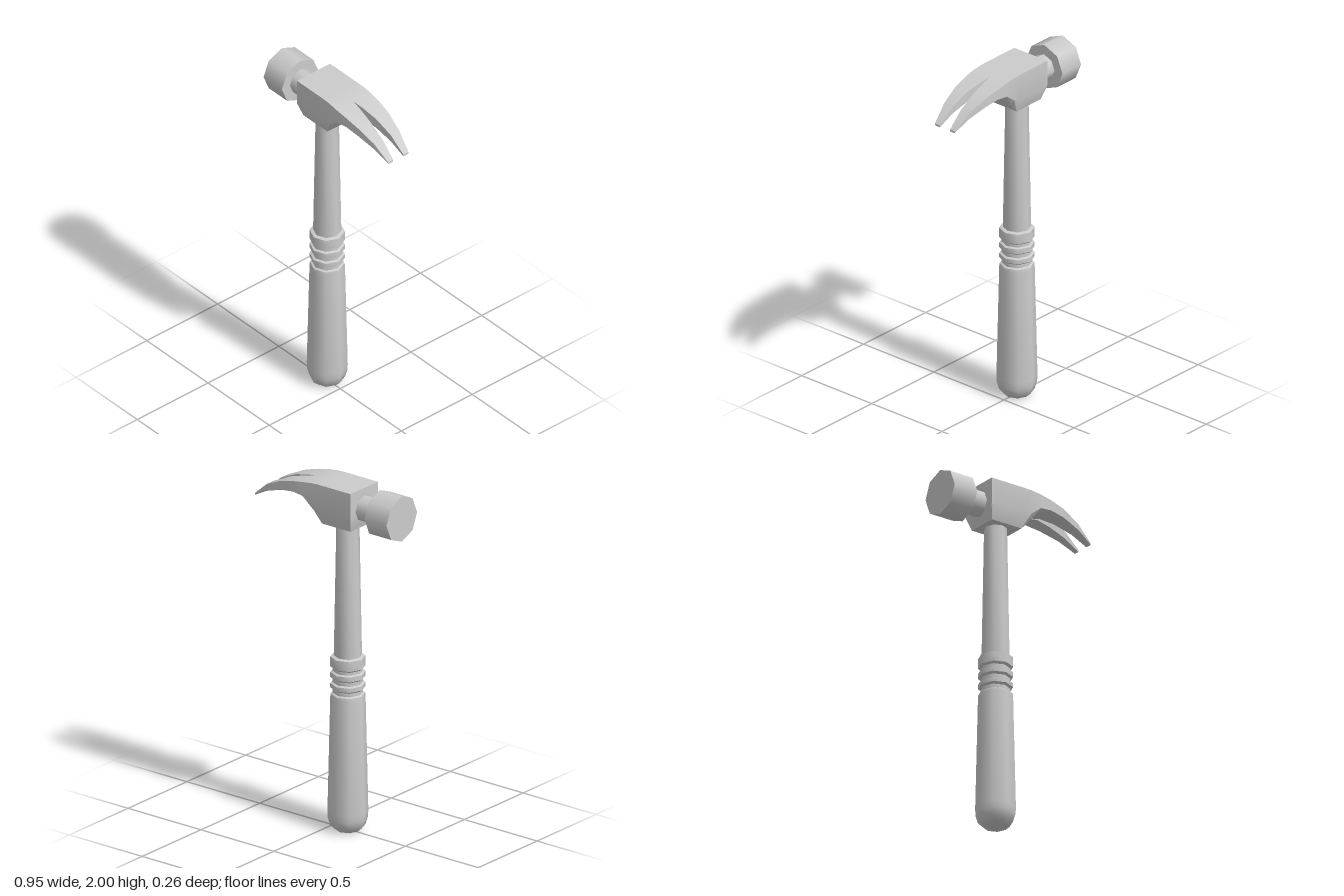
import * as THREE from 'three';
import { toCreasedNormals } from 'three/addons/utils/BufferGeometryUtils.js';

const SIDES = 8;
const HANDLE_X = -0.105;
const AXIS_Y = 1.87;

// Head cross-sections along x: [x, top, sideLow, bottom, outerZ, bottomZ, innerZ]
const HEAD = [
  [-0.217, 1.985, 1.84, 1.83, 0.117, 0.115, 0],
  [-0.195, 1.985, 1.83, 1.755, 0.117, 0.09, 0],
  [0.0, 1.985, 1.83, 1.755, 0.117, 0.09, 0],
  [0.05, 1.983, 1.85, 1.81, 0.118, 0.088, 0],
  [0.11, 1.975, 1.895, 1.878, 0.12, 0.088, 0],
  [0.18, 1.962, 1.902, 1.892, 0.116, 0.09, 0.009],
  [0.27, 1.938, 1.888, 1.88, 0.108, 0.086, 0.02],
  [0.38, 1.888, 1.853, 1.847, 0.09, 0.078, 0.029],
  [0.475, 1.808, 1.802, 1.797, 0.072, 0.068, 0.036],
];

// One half of the head (side = 1 or -1), lofted through the sections
function headHalf(side) {
  const rings = HEAD.map(([x, top, low, bottom, outer, bottomZ, inner]) =>
    [[top, inner], [top, outer], [low, outer], [bottom, bottomZ], [bottom, inner]]
      .map(([y, z]) => [x, y, z * side]));
  const pos = [];
  const tri = (a, b, c) => pos.push(...a, ...(side > 0 ? b : c), ...(side > 0 ? c : b));
  for (let i = 0; i < rings.length - 1; i++) {
    for (let j = 0; j < 5; j++) {
      if (j === 4 && HEAD[i + 1][6] === 0) continue; // no wall inside the solid block
      const k = (j + 1) % 5;
      tri(rings[i][j], rings[i][k], rings[i + 1][j]);
      tri(rings[i][k], rings[i + 1][k], rings[i + 1][j]);
    }
  }
  const first = rings[0], last = rings[rings.length - 1];
  for (let j = 1; j < 4; j++) {
    tri(first[0], first[j + 1], first[j]);
    tri(last[0], last[j], last[j + 1]);
  }
  const geo = new THREE.BufferGeometry();
  geo.setAttribute('position', new THREE.Float32BufferAttribute(pos, 3));
  return toCreasedNormals(geo, 0.45);
}

export function createModel() {
  const group = new THREE.Group();
  const material = new THREE.MeshStandardMaterial({ color: 0xcccccc });

  function add(name, geometry, x = 0, y = 0) {
    const mesh = new THREE.Mesh(geometry, material);
    mesh.name = name;
    mesh.position.set(x, y, 0);
    group.add(mesh);
    return mesh;
  }
  const turned = (points) => toCreasedNormals(
    new THREE.LatheGeometry(points.map(([r, y]) => new THREE.Vector2(r, y)), SIDES), 0.85);

  // Grip with rounded butt, then three raised rings
  const grip = [[0, 0], [0.068, 0.003], [0.095, 0.028], [0.108, 0.07], [0.11, 0.11],
    [0.095, 0.765], [0.093, 0.782], [0.082, 0.788]];
  for (const [low, high] of [[0.812, 0.848], [0.872, 0.912], [0.932, 1.0]]) {
    grip.push([0.082, low - 0.004], [0.095, low + 0.006], [0.095, high - 0.006], [0.082, high]);
  }
  grip.push([0.07, 1.0]);
  add('grip', turned(grip), HANDLE_X);

  // Tapered shaft
  add('shaft', turned([[0.076, 0.99], [0.062, 1.77]]), HANDLE_X);

  // Striking face and neck, both lying along x
  const along = (r, x0, x1) => new THREE.CylinderGeometry(r, r, x1 - x0, SIDES)
    .rotateZ(Math.PI / 2).translate((x0 + x1) / 2, 0, 0);
  add('strikingFace', along(0.13, -0.475, -0.325), 0, AXIS_Y);
  add('neck', along(0.073, -0.33, -0.21), 0, AXIS_Y);

  // Head block running into the split claw
  add('headAndClawLeft', headHalf(1));
  add('headAndClawRight', headHalf(-1));

  return group;
}
